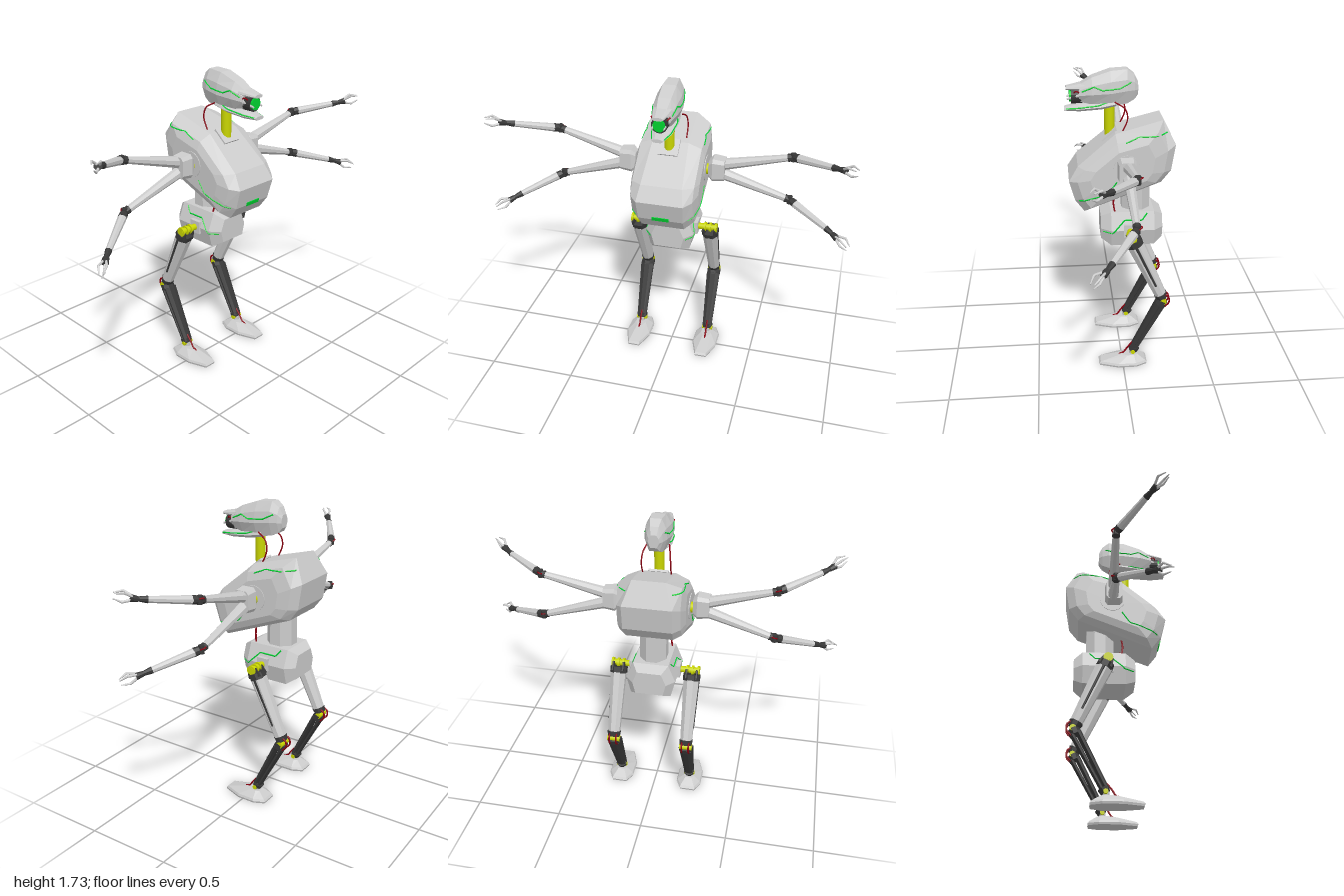
import * as THREE from 'three';

const V = (x, y, z) => new THREE.Vector3(x, y, z);
const mat = (color, flatShading = true) => new THREE.MeshStandardMaterial({ color, flatShading, roughness: 0.7 });
const grey = mat(0xcccccc), dark = mat(0x383838), yellow = mat(0xc8d400, false);
const green = mat(0x00d030), red = mat(0x8c0010, false);

function add(parent, name, geometry, material) {
  const m = new THREE.Mesh(geometry, material);
  m.name = name;
  parent.add(m);
  return m;
}

// Closed solid through a row of rings with equal point counts; faces turned outward.
function loft(rings) {
  const n = rings[0].length, tris = [];
  for (let i = 0; i + 1 < rings.length; i++)
    for (let j = 0; j < n; j++) {
      const k = (j + 1) % n, [p, q] = [rings[i], rings[i + 1]];
      tris.push([p[j], p[k], q[k]], [p[j], q[k], q[j]]);
    }
  const cap = (ring, flip) => {
    const c = ring.reduce((s, p) => s.add(p), V(0, 0, 0)).divideScalar(n);
    ring.forEach((p, j) => tris.push(flip ? [c, ring[(j + 1) % n], p] : [c, p, ring[(j + 1) % n]]));
  };
  cap(rings[0], true);
  cap(rings[rings.length - 1], false);
  const volume = tris.reduce((s, [a, b, c]) => s + a.dot(b.clone().cross(c)), 0);
  const pts = tris.flatMap(t => (volume < 0 ? [t[0], t[2], t[1]] : t));
  const g = new THREE.BufferGeometry().setFromPoints(pts);
  g.computeVertexNormals();
  return g;
}

// Chamfered, tapering bar from a to b; sizes are [along hint, across hint].
function beam(parent, name, a, b, s0, s1 = s0, material = grey, hint = V(1, 0, 0), chamfer = 0.3) {
  const d = b.clone().sub(a).normalize();
  const u = hint.clone().addScaledVector(d, -hint.dot(d)).normalize(), v = d.clone().cross(u);
  const c = 1 - 2 * chamfer;
  const shape = [[1, c], [c, 1], [-c, 1], [-1, c], [-1, -c], [-c, -1], [c, -1], [1, -c]];
  const ring = (p, s) => shape.map(([i, j]) =>
    p.clone().addScaledVector(u, i * s[0] / 2).addScaledVector(v, j * s[1] / 2));
  return add(parent, name, loft([ring(a, s0), ring(b, s1)]), material);
}

function rod(parent, name, a, b, r, material, sides = 20) {
  const g = new THREE.CylinderGeometry(r, r, a.distanceTo(b), sides);
  const m = add(parent, name, g, material);
  m.position.copy(a).lerp(b, 0.5);
  m.quaternion.setFromUnitVectors(V(0, 1, 0), b.clone().sub(a).normalize());
  return m;
}

const wire = (parent, name, pts, r = 0.005) =>
  add(parent, name, new THREE.TubeGeometry(new THREE.CatmullRomCurve3(pts), 20, r, 6), red);

// Thin glowing line laid on the side of a body; path is [z, y].
function sideLine(parent, body, path, s, r = 0.004) {
  const ray = new THREE.Raycaster(), pts = [];
  for (let i = 0; i + 1 < path.length; i++)
    for (let k = 0; k <= 5; k++) {
      if (i && !k) continue;
      const [z, y] = [0, 1].map(c => THREE.MathUtils.lerp(path[i][c], path[i + 1][c], k / 5));
      ray.set(V(s, y, z), V(-s, 0, 0));
      const hit = ray.intersectObject(body)[0];
      if (hit) pts.push(hit.point);
    }
  if (pts.length > 1)
    add(parent, 'lightLine', new THREE.TubeGeometry(new THREE.CatmullRomCurve3(pts), pts.length * 2, r, 4), green);
}

// Body halves share a z, y outline with a half width at each point.
function buildTorso(g) {
  const outline = [[-.233, 1.463, .09], [-.297, 1.335, .135], [-.274, 1.19, .135], [-.22, 1.12, .13],
    [.205, .955, .12], [.256, 1.024, .125], [.288, 1.138, .13], [.238, 1.22, .115], [.03, 1.394, .1]];
  const ring = (s, k, w) => outline.map(([z, y, e]) =>
    V(s * (w ?? e), 1.2 + (y - 1.2) * k, z * k));
  const torso = add(g, 'torso', loft([ring(-1, .6, .19), ring(-1, .84, .172), ring(-1, 1), ring(1, 1),
    ring(1, .84, .172), ring(1, .6, .19)]), grey);
  for (const s of [-1, 1]) {
    sideLine(g, torso, [[.235, 1.03], [.075, 1.085], [.03, 1.15]], s);
    sideLine(g, torso, [[-.02, 1.365], [-.09, 1.395], [-.25, 1.403]], s);
  }
  const light = add(g, 'chestLight', new THREE.BoxGeometry(.095, .022, .012), green);
  light.position.set(0, 1.032, .257);
  light.rotation.x = .27;
  const collar = add(g, 'neckCollar', new THREE.BoxGeometry(.11, .012, .1), grey);
  collar.position.set(0, 1.373, .06);
  collar.rotation.x = .7;
  beam(g, 'waist', V(0, .9, -.09), V(0, 1.17, -.09), [.15, .16]);

  const slice = (z, k) => [[.1, .93], [.14, .83], [.115, .73], [-.115, .73], [-.14, .83], [-.1, .93]]
    .map(([x, y]) => V(x * k, .83 + (y - .83) * k, z));
  const pelvis = add(g, 'pelvis', loft([slice(-.24, .68), slice(-.19, 1), slice(.055, 1), slice(.112, .68)]), grey);
  for (const s of [-1, 1])
    sideLine(g, pelvis, [[.1, .815], [.05, .815], [-.02, .885], [-.12, .885], [-.15, .92]], s);
}

function buildHead(g) {
  rod(g, 'neck', V(0, 1.32, .055), V(0, 1.56, .055), .028, yellow);
  const section = ([z, lo, hi, w]) => [[.5, 1], [.9, .72], [1, .4], [.6, 0], [-.6, 0], [-1, .4], [-.9, .72], [-.5, 1]]
    .map(([x, t]) => V(x * w, lo + t * (hi - lo), z));
  const skull = add(g, 'skull', loft([[-.1, 1.59, 1.66, .03], [-.08, 1.565, 1.7, .046], [-.04, 1.545, 1.73, .062],
    [.05, 1.532, 1.724, .074], [.15, 1.545, 1.69, .068], [.22, 1.56, 1.65, .052]].map(section)), grey);
  const jaw = add(g, 'jaw', loft([[.02, 1.53, 1.57, .055], [.1, 1.515, 1.558, .062], [.22, 1.506, 1.545, .054],
    [.3, 1.508, 1.527, .03]].map(section)), grey);
  add(g, 'brow', loft([[.19, 1.62, 1.66, .055], [.29, 1.622, 1.64, .03]].map(section)), grey);
  rod(g, 'eyeHousing', V(0, 1.587, .2), V(0, 1.587, .262), .043, dark);
  rod(g, 'eye', V(0, 1.587, .25), V(0, 1.587, .272), .033, green);
  for (const s of [-1, 1]) {
    sideLine(g, skull, [[.205, 1.617], [.14, 1.645], [.095, 1.627], [0, 1.635], [-.06, 1.664]], s);
    sideLine(g, jaw, [[.29, 1.52], [.12, 1.54], [.06, 1.557]], s);
    beam(g, 'cheekProng', V(s * .045, 1.6, .2), V(s * .03, 1.575, .285), [.01, .02], [.006, .01]);
    wire(g, 'eyeWire', [V(s * .04, 1.6, .2), V(s * .048, 1.62, .235), V(s * .025, 1.6, .25)], .004);
    wire(g, 'neckWire', [V(s * .06, 1.56, .03), V(s * .075, 1.525, -.025), V(s * .08, 1.47, -.038), V(s * .078, 1.38, 0)], .004);
    wire(g, 'waistWire', [V(s * .08, 1.04, .03), V(s * .075, .98, .04), V(s * .085, .91, .03)]);
  }
}

function buildArm(g, shoulder, elbow, wrist, tip) {
  const up = V(0, 1, 0), at = (a, b, t) => a.clone().lerp(b, t);
  // upper arm with dark cuffs
  beam(g, 'upperArm', shoulder, at(shoulder, elbow, .95), [.062, .06], [.034, .036], grey, up);
  beam(g, 'elbowCuff', at(shoulder, elbow, .93), at(shoulder, elbow, .985), [.042, .042], [.036, .036], dark, up);
  rod(g, 'elbowJoint', at(elbow, V(elbow.x, elbow.y + 1, elbow.z), -.022), at(elbow, V(elbow.x, elbow.y + 1, elbow.z), .022), .016, dark, 12);
  wire(g, 'elbowWire', [at(shoulder, elbow, .93), elbow.clone().add(V(0, .012, -.024)), at(elbow, wrist, .1)], .004);
  // forearm
  beam(g, 'forearmCuff', at(elbow, wrist, .04), at(elbow, wrist, .14), [.04, .04], [.045, .045], dark, up);
  beam(g, 'forearm', at(elbow, wrist, .13), at(elbow, wrist, .92), [.043, .045], [.03, .03], grey, up);
  beam(g, 'wristJoint', at(elbow, wrist, .9), at(wrist, tip, .15), [.034, .034], [.022, .022], dark, up);
  // three-fingered claw
  const dir = tip.clone().sub(wrist).normalize(), side = dir.clone().cross(up).normalize();
  const lift = side.clone().cross(dir), palm = at(wrist, tip, .4);
  beam(g, 'palm', at(wrist, tip, .12), palm, [.024, .03], [.034, .04], dark, up);
  for (const [i, j] of [[1, .8], [1, -.8], [-1, 0]]) {
    const off = (t, k) => at(wrist, tip, t).addScaledVector(lift, i * k).addScaledVector(side, j * k);
    beam(g, 'fingerBase', off(.36, .01), off(.68, .026), [.013, .013], [.012, .012], grey, up);
    beam(g, 'fingerTip', off(.66, .026), off(1, .014), [.012, .012], [.005, .005], grey, up);
  }
}

function buildArms(g) {
  for (const s of [-1, 1]) {
    rod(g, 'shoulderPlate', V(s * .16, 1.23, -.025), V(s * .194, 1.23, -.025), .072, grey, 24);
    rod(g, 'shoulderAxle', V(s * .17, 1.225, -.025), V(s * .23, 1.225, -.025), .03, yellow);
    beam(g, 'shoulderBlock', V(s * .208, 1.238, -.02), V(s * .232, 1.238, -.02), [.09, .07], [.135, .1], grey, V(0, 1, 0), .15);
    beam(g, 'shoulderBlock', V(s * .232, 1.238, -.02), V(s * .298, 1.238, -.02), [.135, .1], [.12, .09], grey, V(0, 1, 0), .15);
    const high = s > 0 ? [1.35, 1.39, 1.42] : [1.37, 1.44, 1.48];
    const low = s > 0 ? [1.09, 1.015, .975] : [1.085, .98, .93];
    for (const [y, h] of [[1.26, high], [1.21, low]])
      buildArm(g, V(s * .27, y, -.025), V(s * .66, h[0], -.03), V(s * .9, h[1], .125), V(s * 1, h[2], .21));
  }
}

function buildLeg(g, s) {
  const x = s * .215, hip = V(x, .83, -.05), knee = V(x, .42, -.235), ankle = V(x, .075, -.06);
  const at = (a, b, t) => a.clone().lerp(b, t);
  // hip axle and cuff
  const plate = add(g, 'hipPlate', new THREE.BoxGeometry(.03, .075, .07), grey);
  plate.position.set(s * .133, .83, -.05);
  rod(g, 'hipAxle', V(s * .1, .83, -.05), V(s * .258, .83, -.05), .018, yellow);
  for (const r of [.182, .212, .245]) rod(g, 'hipRing', V(s * r, .83, -.05), V(s * (r + .012), .83, -.05), .027, yellow);
  for (const o of [-.03, .03]) beam(g, 'hipFork', V(x + o, .835, -.047), at(V(x + o, .83, -.05), V(x + o, .42, -.235), .1), [.02, .06], [.02, .085], dark);
  beam(g, 'hipCuff', at(hip, knee, .05), at(hip, knee, .13), [.096, .09], [.094, .092], dark);
  // thigh
  beam(g, 'thigh', at(hip, knee, .12), at(hip, knee, .93), [.088, .094], [.066, .066]);
  const outer = s * .043;
  beam(g, 'thighStrip', at(hip, knee, .12).add(V(outer, 0, 0)), at(hip, knee, .75).add(V(outer * .82, 0, 0)), [.008, .016], [.008, .012], dark);
  // knee
  beam(g, 'kneeCuff', at(hip, knee, .91), at(hip, knee, .98), [.074, .074], [.068, .06], dark);
  rod(g, 'kneeAxle', V(x - .037, .415, -.235), V(x + .037, .415, -.235), .018, yellow);
  for (const o of [-.02, .02])
    wire(g, 'kneeWire', [V(x + o, .46, -.235), V(x + o, .44, -.266), V(x + o, .405, -.268), V(x + o, .375, -.24)]);
  // shin made of a front bar and a rear bar
  beam(g, 'shinCuff', at(knee, ankle, .01), at(knee, ankle, .1), [.078, .06], [.078, .066], dark);
  beam(g, 'shinFront', V(x, .4, -.205), V(x, .09, -.052), [.08, .03], [.055, .026], dark);
  beam(g, 'shinRear', V(x, .385, -.238), V(x, .085, -.075), [.066, .024], [.048, .02], dark);
  beam(g, 'ankleCuff', at(knee, ankle, .93), at(knee, ankle, 1), [.062, .06], [.056, .05], dark);
  rod(g, 'ankleAxle', V(x - .032, .077, -.06), V(x + .032, .077, -.06), .013, yellow);
  rod(g, 'anklePost', V(x, .04, -.058), V(x, .08, -.058), .018, grey, 12);
  wire(g, 'ankleWire', [V(x, .13, -.06), V(x, .095, -.03), V(x, .06, -.005), V(x, .05, .02), V(x, .025, .035)]);
  // foot
  const sole = [[.035, .142], [.075, .03], [.075, -.08], [.045, -.142], [-.045, -.142], [-.075, -.08], [-.075, .03], [-.035, .142]];
  const ring = (y, k, zk, z0) => sole.map(([a, z]) => V(x + a * k, y, z0 + z * zk));
  add(g, 'foot', loft([ring(0, .95, .97, 0), ring(.012, 1, 1, 0), ring(.024, .93, .93, 0), ring(.056, .42, .33, -.04)]), grey);
}

export function createModel() {
  const model = new THREE.Group();
  model.name = 'robot';
  const group = name => {
    const g = new THREE.Group();
    g.name = name;
    model.add(g);
    return g;
  };
  buildTorso(group('body'));
  buildHead(group('head'));
  buildArms(group('arms'));
  buildLeg(group('leftLeg'), 1);
  buildLeg(group('rightLeg'), -1);
  return model;
}
